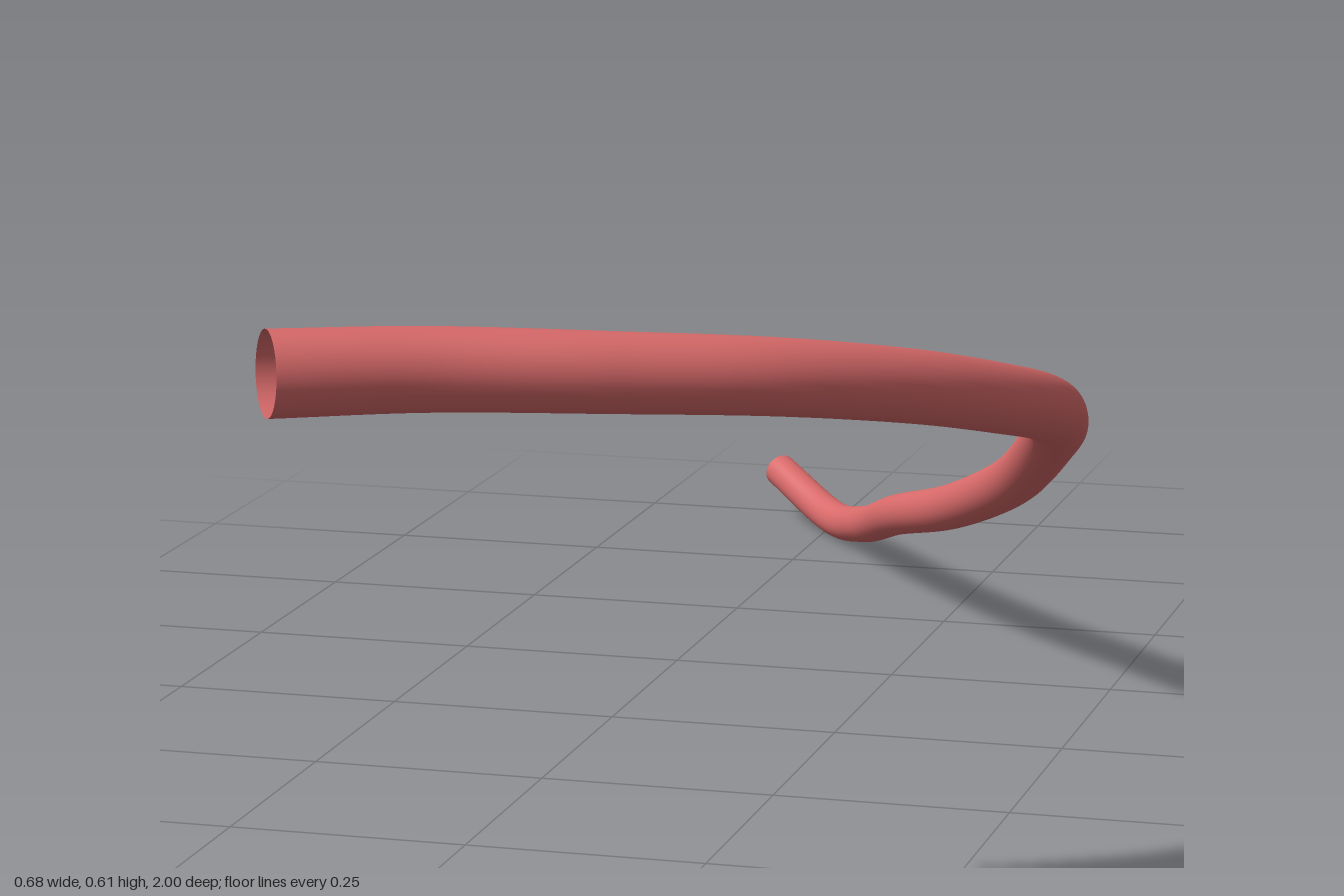
import * as THREE from 'three';

// Centre line, from the wide front end to the thin back end
const PATH = [
  [-0.273, 0.573, 0.963], [-0.15, 0.567, 0.88], [0, 0.556, 0.80], [0.135, 0.541, 0.71],
  [0.235, 0.513, 0.59], [0.29, 0.48, 0.47], [0.306, 0.45, 0.36], [0.283, 0.4, 0.19],
  [0.235, 0.339, 0], [0.15, 0.245, -0.2], [0.035, 0.164, -0.4], [-0.08, 0.102, -0.6],
  [-0.175, 0.039, -0.8], [-0.235, 0.023, -0.89], [-0.33, 0.058, -0.985],
];
const START_RADIUS = 0.0405;
const END_RADIUS = 0.02;

// Tube whose rings shrink evenly along its length
function taperedTube(curve, rings, sides, r0, r1) {
  const geometry = new THREE.TubeGeometry(curve, rings, 1, sides, false);
  const pos = geometry.attributes.position;
  const normal = geometry.attributes.normal;
  const p = new THREE.Vector3();
  const n = new THREE.Vector3();
  for (let i = 0; i <= rings; i++) {
    const t = i / rings;
    const centre = curve.getPointAt(t);
    const radius = THREE.MathUtils.lerp(r0, r1, t);
    for (let j = 0; j <= sides; j++) {
      const k = i * (sides + 1) + j;
      n.fromBufferAttribute(normal, k);
      p.copy(centre).addScaledVector(n, radius);
      pos.setXYZ(k, p.x, p.y, p.z);
    }
  }
  return geometry;
}

export function createModel() {
  const group = new THREE.Group();
  group.name = 'curvedTube';
  const curve = new THREE.CatmullRomCurve3(PATH.map((p) => new THREE.Vector3(...p)), false, 'centripetal');

  // Open-ended tapering tube
  const tube = new THREE.Mesh(
    taperedTube(curve, 160, 32, START_RADIUS, END_RADIUS),
    new THREE.MeshStandardMaterial({ color: 0xd96a6a, side: THREE.DoubleSide }),
  );
  tube.name = 'taperedTube';
  group.add(tube);
  return group;
}
